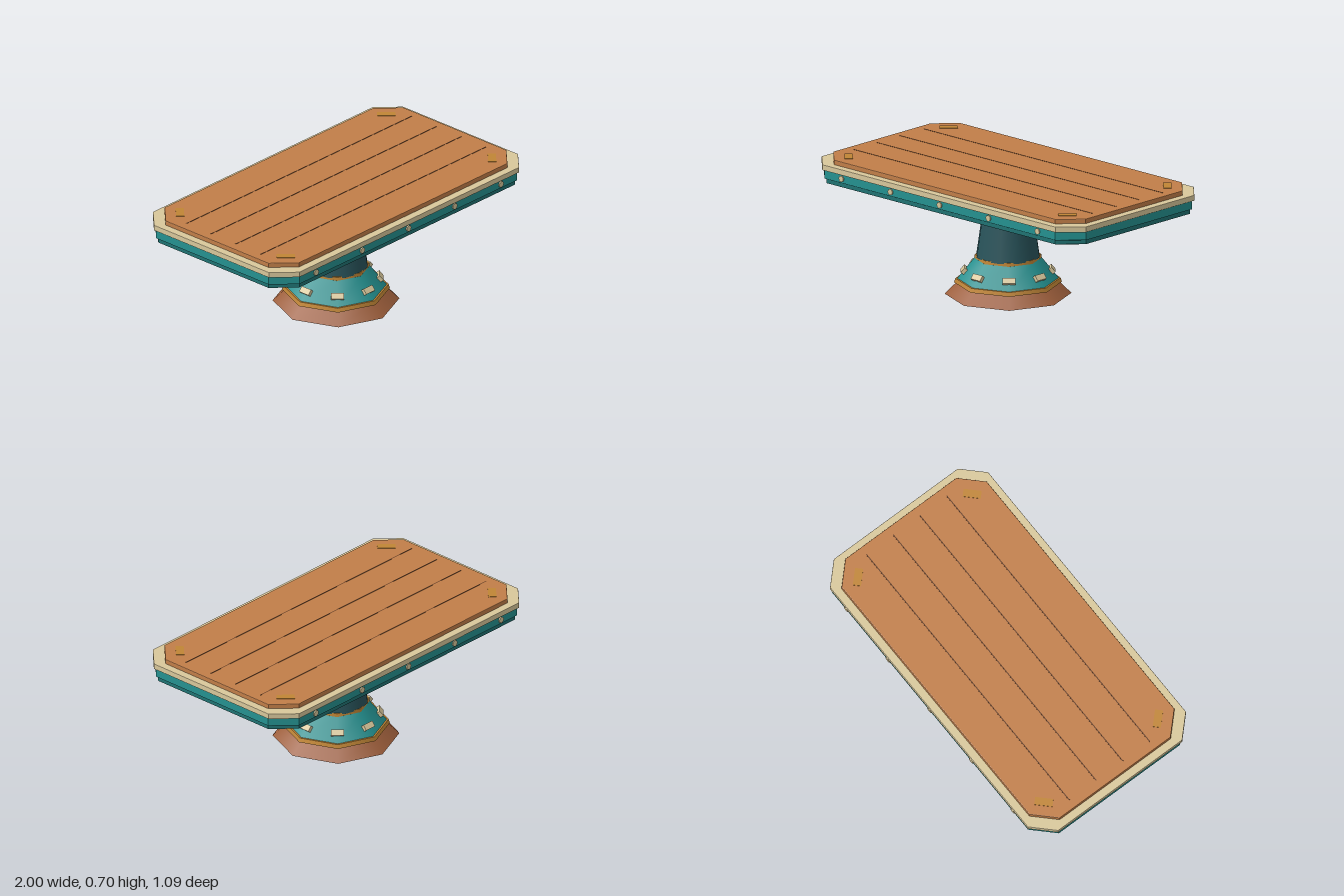
import * as THREE from 'three';

const mat = (name, color) => {
  const m = new THREE.MeshStandardMaterial({ color });
  m.name = name;
  return m;
};

export function createModel() {
  const wood = mat('wood', 0xc17e48);
  const brown = mat('baseBrown', 0x9e5f3c);
  const teal = mat('teal', 0x249190);
  const deepTeal = mat('deepTeal', 0x1f7272);
  const darkTeal = mat('darkTeal', 0x28535a);
  const gold = mat('gold', 0xc08535);
  const cream = mat('cream', 0xd8c79b);
  const groove = mat('grooveBrown', 0x6b4226);

  const table = new THREE.Group();
  table.name = 'table';

  const add = (name, geometry, material, parent = table) => {
    const mesh = new THREE.Mesh(geometry, material);
    mesh.name = name;
    parent.add(mesh);
    return mesh;
  };

  // Rectangle slab with cut corners and a small bevel, lying between y0 and y1
  const slab = (name, hx, hz, cut, y0, y1, material, bevel = 0.005) => {
    const pts = [
      [hx, -hz + cut], [hx, hz - cut], [hx - cut, hz], [-hx + cut, hz],
      [-hx, hz - cut], [-hx, -hz + cut], [-hx + cut, -hz], [hx - cut, -hz],
    ].map(([x, y]) => new THREE.Vector2(x, y));
    const g = new THREE.ExtrudeGeometry(new THREE.Shape(pts), {
      depth: y1 - y0 - 2 * bevel,
      bevelEnabled: true,
      bevelThickness: bevel,
      bevelSize: bevel,
      bevelOffset: -bevel,
      bevelSegments: 2,
    });
    g.rotateX(-Math.PI / 2);
    g.translate(0, y0 + bevel, 0);
    return add(name, g, material);
  };

  // Tapered round part standing between y0 and y1
  const taper = (name, r0, r1, y0, y1, sides, material) => {
    const g = new THREE.CylinderGeometry(r1, r0, y1 - y0, sides);
    g.translate(0, (y0 + y1) / 2, 0);
    return add(name, g, material);
  };

  // Pedestal
  taper('foot', 0.347, 0.28, 0, 0.066, 8, brown);
  taper('lowerRing', 0.295, 0.288, 0.064, 0.087, 8, gold);
  taper('skirt', 0.279, 0.185, 0.085, 0.203, 8, teal);
  taper('upperRing', 0.185, 0.182, 0.201, 0.222, 8, gold);
  taper('column', 0.178, 0.137, 0.215, 0.502, 12, darkTeal);
  taper('collar', 0.14, 0.215, 0.5, 0.563, 12, gold);

  // Studs around the skirt, leaning with its slope
  for (let i = 0; i < 8; i++) {
    const pivot = new THREE.Group();
    pivot.name = 'skirtStud';
    pivot.rotation.y = (i * Math.PI) / 4;
    const stud = add('stud', new THREE.BoxGeometry(0.07, 0.034, 0.02), cream, pivot);
    stud.position.set(0, 0.136, 0.241);
    stud.rotation.x = -0.69;
    table.add(pivot);
  }

  // Table top, from the underside up
  slab('underFrame', 0.985, 0.531, 0.12, 0.562, 0.592, [darkTeal, deepTeal]);
  slab('apron', 0.993, 0.539, 0.12, 0.588, 0.64, teal);
  slab('rim', 1.0, 0.547, 0.118, 0.637, 0.669, cream, 0.003);
  slab('woodTop', 0.955, 0.502, 0.118, 0.665, 0.695, wood, 0.004);

  // Rivets along both long sides
  for (const side of [1, -1]) {
    for (let i = -2; i <= 2; i++) {
      const g = new THREE.CylinderGeometry(0.018, 0.018, 0.014, 8);
      g.rotateX(Math.PI / 2);
      add('rivet', g, cream).position.set(i * 0.371, 0.615, side * 0.539);
    }
  }

  // Plank grooves
  for (const z of [-0.278, -0.092, 0.092, 0.278]) {
    add('plankGroove', new THREE.BoxGeometry(1.81, 0.003, 0.006), groove).position.set(0, 0.6948, z);
  }

  // Gold corner plates parallel to the cut corners
  for (const sx of [1, -1]) {
    for (const sz of [1, -1]) {
      const plate = add('cornerPlate', new THREE.BoxGeometry(0.1, 0.006, 0.045), gold);
      plate.position.set(sx * 0.828, 0.695, sz * 0.395);
      plate.rotation.y = sx * sz * Math.PI / 4;
    }
  }

  return table;
}
